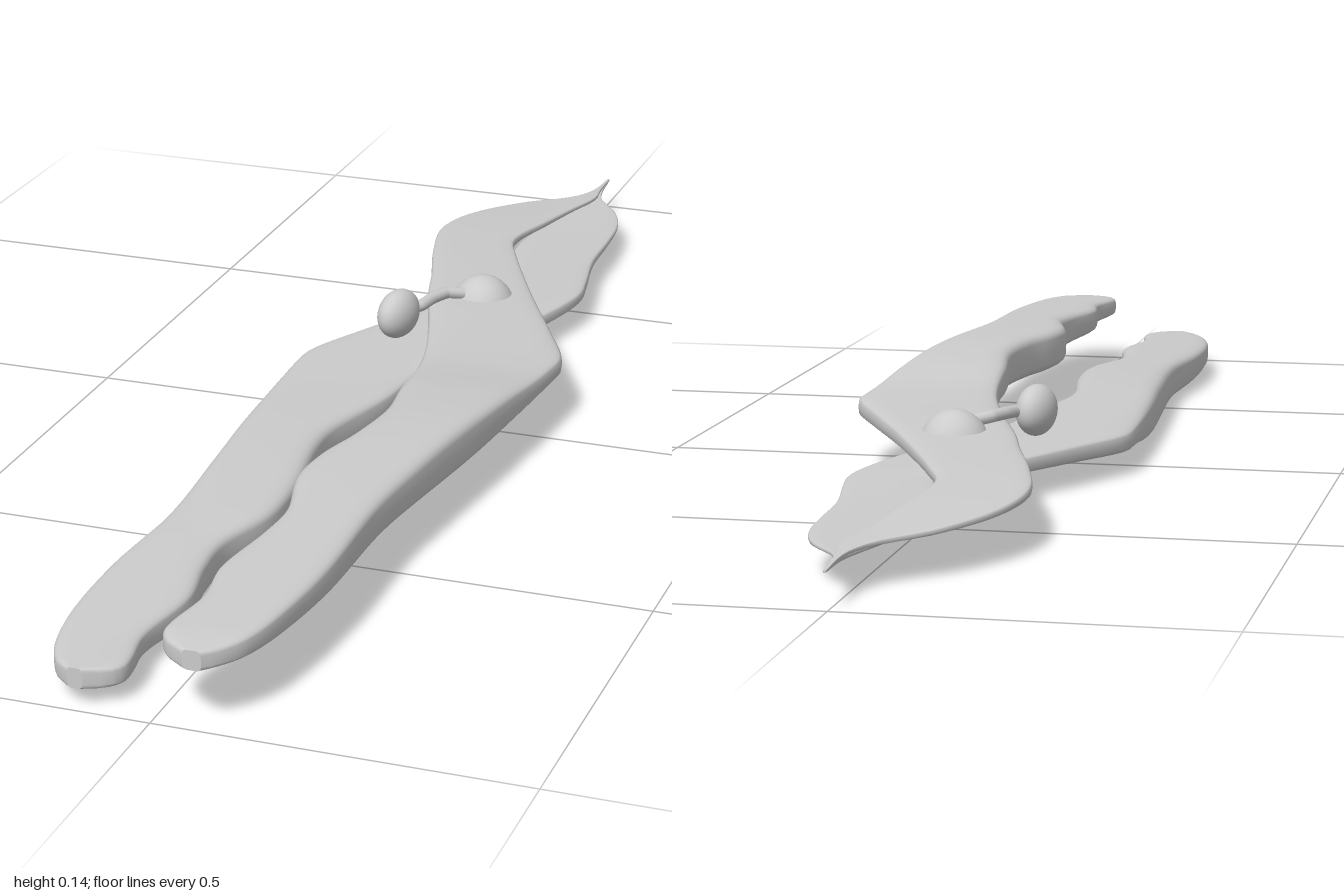
import * as THREE from 'three';

const material = new THREE.MeshStandardMaterial({ color: 0xcccccc, side: THREE.DoubleSide });

// Smooth interpolation through [z, value] points sorted by z
function sample(pts, z) {
  let i = 0;
  while (i < pts.length - 2 && z > pts[i + 1][0]) i++;
  const slope = (k) => {
    const a = pts[Math.max(k - 1, 0)], b = pts[Math.min(k + 1, pts.length - 1)];
    return (b[1] - a[1]) / (b[0] - a[0]);
  };
  const [z0, v0] = pts[i], [z1, v1] = pts[i + 1];
  const h = z1 - z0, t = Math.min(1, Math.max(0, (z - z0) / h)), t2 = t * t, t3 = t2 * t;
  return (2 * t3 - 3 * t2 + 1) * v0 + (t3 - 2 * t2 + t) * h * slope(i)
    + (3 * t2 - 2 * t3) * v1 + (t3 - t2) * h * slope(i + 1);
}

// Loft of rounded-rectangle sections between two side outlines and two height outlines
function loft(name, { minX, maxX, bottom, top }) {
  const rings = 140, sides = 28, pos = [], index = [];
  const start = minX[0][0], end = minX[minX.length - 1][0];
  const round = (v) => Math.sign(v) * Math.pow(Math.abs(v), 0.42);
  for (let r = 0; r <= rings; r++) {
    const u = r / rings;
    const z = start + (end - start) * (0.6 * u + 0.4 * Math.sin(u * Math.PI / 2));
    const x0 = sample(minX, z), x1 = sample(maxX, z);
    const y0 = sample(bottom, z), y1 = sample(top, z);
    for (let s = 0; s < sides; s++) {
      const a = (s / sides) * Math.PI * 2;
      pos.push((x0 + x1) / 2 + (x1 - x0) / 2 * round(Math.cos(a)),
        (y0 + y1) / 2 + (y1 - y0) / 2 * round(Math.sin(a)), z);
    }
  }
  for (let r = 0; r < rings; r++) {
    for (let s = 0; s < sides; s++) {
      const a = r * sides + s, b = r * sides + (s + 1) % sides;
      index.push(a, b, b + sides, a, b + sides, a + sides);
    }
  }
  // End caps, with their own vertices so the rim stays crisp
  for (const [ring, flip] of [[0, true], [rings, false]]) {
    const base = pos.length / 3;
    pos.push(...pos.slice(ring * sides * 3, (ring + 1) * sides * 3));
    for (let s = 1; s < sides - 1; s++) {
      index.push(base, base + (flip ? s + 1 : s), base + (flip ? s : s + 1));
    }
  }
  const g = new THREE.BufferGeometry();
  g.setAttribute('position', new THREE.Float32BufferAttribute(pos, 3));
  g.setIndex(index);
  g.computeVertexNormals();
  const mesh = new THREE.Mesh(g, material);
  mesh.name = name;
  return mesh;
}

function ellipsoid(name, radii, position, turn = 0) {
  const mesh = new THREE.Mesh(new THREE.SphereGeometry(1, 32, 20), material);
  mesh.name = name;
  mesh.scale.set(...radii);
  mesh.position.set(...position);
  mesh.rotation.y = turn;
  return mesh;
}

export function createModel() {
  const model = new THREE.Group();
  model.name = 'pruningShears';

  // Upper half: left-hand blade crossing over to the right-hand grip
  model.add(loft('upperBladeAndHandle', {
    minX: [[-1, 0.001], [-0.94, 0], [-0.9, -0.008], [-0.86, -0.03], [-0.8, -0.09], [-0.7, -0.148],
      [-0.6, -0.165], [-0.48, -0.14], [-0.37, -0.105], [-0.28, -0.08], [-0.15, -0.035], [-0.03, 0],
      [0.05, 0.015], [0.15, 0.025], [0.25, 0.038], [0.35, 0.027], [0.43, 0.006], [0.5, 0.002],
      [0.6, 0.026], [0.67, 0.022], [0.78, 0.005], [0.86, 0.015], [0.95, 0.002], [0.98, 0.015], [1, 0.045]],
    maxX: [[-1, 0.005], [-0.93, 0.009], [-0.88, 0.015], [-0.8, 0], [-0.7, -0.016], [-0.58, -0.033],
      [-0.5, -0.005], [-0.4, 0.04], [-0.3, 0.088], [-0.17, 0.155], [-0.08, 0.198], [-0.03, 0.2],
      [0.2, 0.18], [0.4, 0.155], [0.55, 0.14], [0.75, 0.14], [0.88, 0.127], [0.95, 0.11],
      [0.985, 0.087], [1, 0.07]],
    bottom: [[-1, 0.05], [-0.85, 0.056], [-0.6, 0.068], [-0.3, 0.072], [0, 0.072], [0.3, 0.066],
      [0.6, 0.072], [0.9, 0.082], [1, 0.085]],
    top: [[-1, 0.053], [-0.85, 0.064], [-0.6, 0.085], [-0.3, 0.1], [0, 0.11], [0.15, 0.127], [0.3, 0.136],
      [0.5, 0.134], [0.75, 0.125], [0.95, 0.117], [1, 0.112]],
  }));

  // Lower half: right-hand blade crossing under to the left-hand grip
  model.add(loft('lowerBladeAndHandle', {
    minX: [[-1, 0.001], [-0.93, 0.002], [-0.88, -0.006], [-0.8, -0.025], [-0.65, -0.045], [-0.55, -0.035],
      [-0.44, -0.01], [-0.3, -0.088], [-0.17, -0.155], [-0.08, -0.198], [-0.03, -0.203], [0.2, -0.192],
      [0.35, -0.18], [0.55, -0.168], [0.7, -0.18], [0.83, -0.178], [0.92, -0.162], [0.97, -0.138], [0.988, -0.115]],
    maxX: [[-1, 0.005], [-0.94, 0.01], [-0.9, 0.02], [-0.84, 0.062], [-0.78, 0.083], [-0.7, 0.09], [-0.6, 0.094],
      [-0.5, 0.112], [-0.44, 0.12], [-0.37, 0.108], [-0.28, 0.08], [-0.15, 0.03], [-0.03, -0.01], [0.06, -0.022],
      [0.2, -0.055], [0.27, -0.055], [0.4, -0.035], [0.5, -0.034], [0.6, -0.062], [0.67, -0.06],
      [0.76, -0.045], [0.87, -0.06], [0.95, -0.05], [0.975, -0.065], [0.988, -0.095]],
    bottom: [[-1, 0.05], [-0.85, 0.046], [-0.6, 0.041], [-0.3, 0.038], [0, 0.028], [0.15, 0.011], [0.3, 0.004],
      [0.5, 0.006], [0.75, 0.015], [0.95, 0.024], [1, 0.028]],
    top: [[-1, 0.053], [-0.85, 0.053], [-0.6, 0.058], [-0.3, 0.066], [0, 0.068], [0.3, 0.074],
      [0.6, 0.068], [0.9, 0.058], [1, 0.055]],
  }));

  // Domed pivot bolt showing on both faces
  model.add(ellipsoid('pivotBolt', [0.053, 0.063, 0.053], [0.006, 0.066, -0.29]));

  // Safety catch: bent stem and thumb knob
  const path = new THREE.CatmullRomCurve3([
    new THREE.Vector3(-0.015, 0.108, -0.26), new THREE.Vector3(-0.037, 0.112, -0.244),
    new THREE.Vector3(-0.05, 0.112, -0.215), new THREE.Vector3(-0.058, 0.11, -0.185),
    new THREE.Vector3(-0.078, 0.108, -0.16)], false, 'catmullrom', 0.2);
  const stem = new THREE.Mesh(new THREE.TubeGeometry(path, 24, 0.009, 10), material);
  stem.name = 'catchStem';
  model.add(stem, ellipsoid('catchKnob', [0.027, 0.037, 0.044], [-0.082, 0.107, -0.15], -0.2));

  return model;
}
